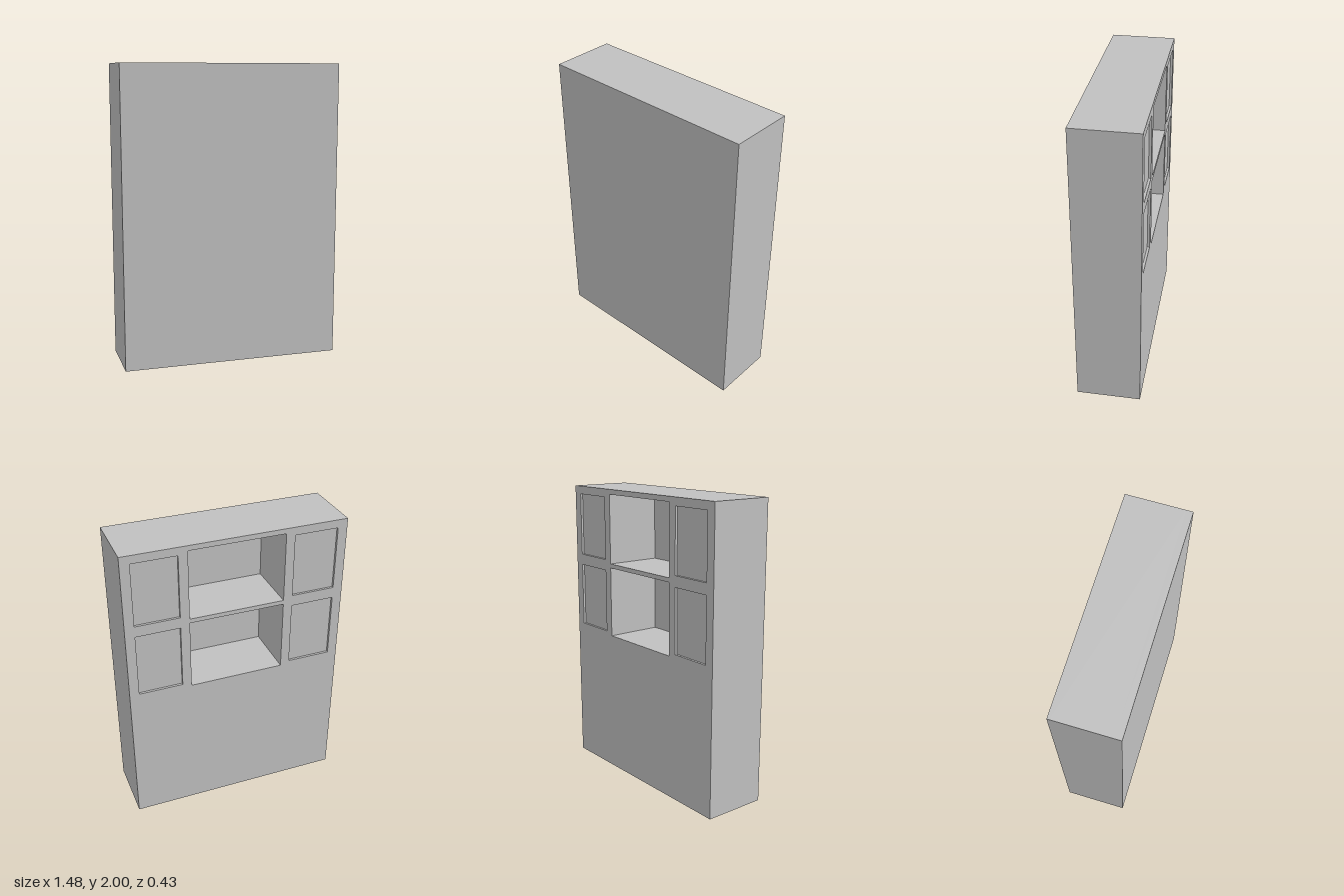
import * as THREE from 'three';

const HALF_W = 0.738, HEIGHT = 2, HALF_D = 0.215;
const BOARD = 0.046;   // solid board closing the niches
const RECESS = 0.016;  // inset of the side door panels

// Openings as [centre x, width, bottom y, top y]
const niches = [[0, 0.638, 1.495, 1.966], [0, 0.638, 0.985, 1.466]];
const doors = [];
for (const x of [-0.527, 0.527]) {
  doors.push([x, 0.294, 1.518, 1.945], [x, 0.294, 1.008, 1.443]);
}

function rect(target, x0, x1, y0, y1) {
  target.moveTo(x0, y0);
  target.lineTo(x1, y0);
  target.lineTo(x1, y1);
  target.lineTo(x0, y1);
  target.closePath();
  return target;
}

// Full-size slab between two z positions, pierced by the given openings
function slab(name, z0, z1, openings, material) {
  const shape = rect(new THREE.Shape(), -HALF_W, HALF_W, 0, HEIGHT);
  for (const [x, w, y0, y1] of openings) {
    shape.holes.push(rect(new THREE.Path(), x - w / 2, x + w / 2, y0, y1));
  }
  const geometry = new THREE.ExtrudeGeometry(shape, { depth: z1 - z0, bevelEnabled: false });
  const mesh = new THREE.Mesh(geometry, material);
  mesh.name = name;
  mesh.position.z = z0;
  return mesh;
}

export function createModel() {
  const grey = new THREE.MeshStandardMaterial({ color: 0xc0c0c0 });
  grey.name = 'grey';

  const model = new THREE.Group();
  model.name = 'cabinet';
  model.add(
    // plain board on the +z side
    slab('board', HALF_D - BOARD, HALF_D, [], grey),
    // carcass holding the two deep open niches
    slab('carcass', -HALF_D + RECESS, HALF_D - BOARD, niches, grey),
    // face frame around the niches and the four inset doors
    slab('faceFrame', -HALF_D, -HALF_D + RECESS, [...niches, ...doors], grey),
  );
  return model;
}
